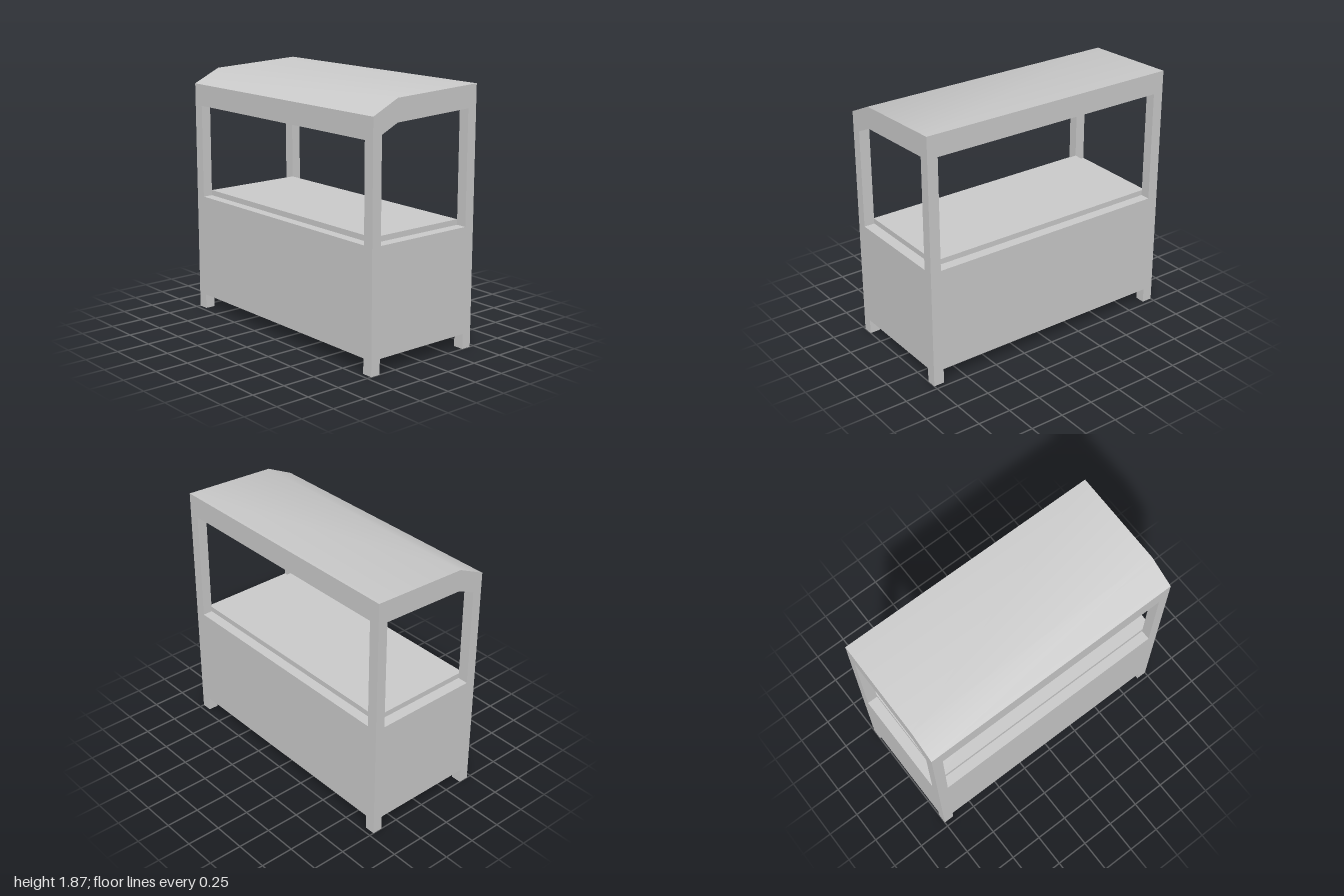
import * as THREE from 'three';
import { toCreasedNormals } from 'three/addons/utils/BufferGeometryUtils.js';

const HALF_X = 1, HALF_Z = 0.465;      // outer footprint
const IN_X = 0.92, IN_Z = 0.39;        // inner faces of the posts
const BASE_Y = 0.11, LEDGE_Y = 0.885, TOP_Y = 0.925;
const ROOF_DROP = 0.16;                // vertical roof thickness

// Upper roof line, front to back, as [z, y]
const roofLine = [[HALF_Z, 1.74], [0.255, 1.84], [-HALF_Z, 1.87]];

// Height of the roof underside at a given z
function undersideY(z) {
  const [a, b] = z > roofLine[1][0] ? [roofLine[0], roofLine[1]] : [roofLine[1], roofLine[2]];
  return a[1] + (b[1] - a[1]) * (z - a[0]) / (b[0] - a[0]) - ROOF_DROP;
}

export function createModel() {
  const group = new THREE.Group();
  const material = new THREE.MeshStandardMaterial({ color: 0xcccccc });

  // Side profile of [z, y] points swept along x from x0 to x1
  function sweep(name, profile, x0, x1) {
    const shape = new THREE.Shape(profile.map(([z, y]) => new THREE.Vector2(-z, y)));
    const geometry = new THREE.ExtrudeGeometry(shape, { depth: x1 - x0, bevelEnabled: false });
    geometry.rotateY(Math.PI / 2).translate(x0, 0, 0);
    const mesh = new THREE.Mesh(toCreasedNormals(geometry, 0.7), material);
    mesh.name = name;
    group.add(mesh);
  }

  const block = (z0, z1, y0, y1) => [[z0, y0], [z1, y0], [z1, y1], [z0, y1]];

  // Closed cabinet and the raised counter slab set in from its edge
  sweep('cabinet', block(-HALF_Z, HALF_Z, BASE_Y, LEDGE_Y), -HALF_X, HALF_X);
  sweep('counter', block(-IN_Z, IN_Z, LEDGE_Y, TOP_Y), -IN_X, IN_X);

  // Bent canopy of constant thickness
  const underside = roofLine.map(([z, y]) => [z, y - ROOF_DROP]).reverse();
  sweep('roof', [...roofLine, ...underside], -HALF_X, HALF_X);

  // Corner legs and roof posts, the posts cut to the slope of the roof
  for (const sx of [-1, 1]) {
    const x0 = sx < 0 ? -HALF_X : IN_X, x1 = sx < 0 ? -IN_X : HALF_X;
    for (const sz of [-1, 1]) {
      const z0 = sz < 0 ? -HALF_Z : IN_Z, z1 = sz < 0 ? -IN_Z : HALF_Z;
      const corner = (sz > 0 ? 'front' : 'back') + (sx > 0 ? 'Left' : 'Right');
      sweep(corner + 'Leg', block(z0, z1, 0, BASE_Y), x0, x1);
      sweep(corner + 'Post',
        [[z0, LEDGE_Y], [z1, LEDGE_Y], [z1, undersideY(z1)], [z0, undersideY(z0)]], x0, x1);
    }
  }
  return group;
}
